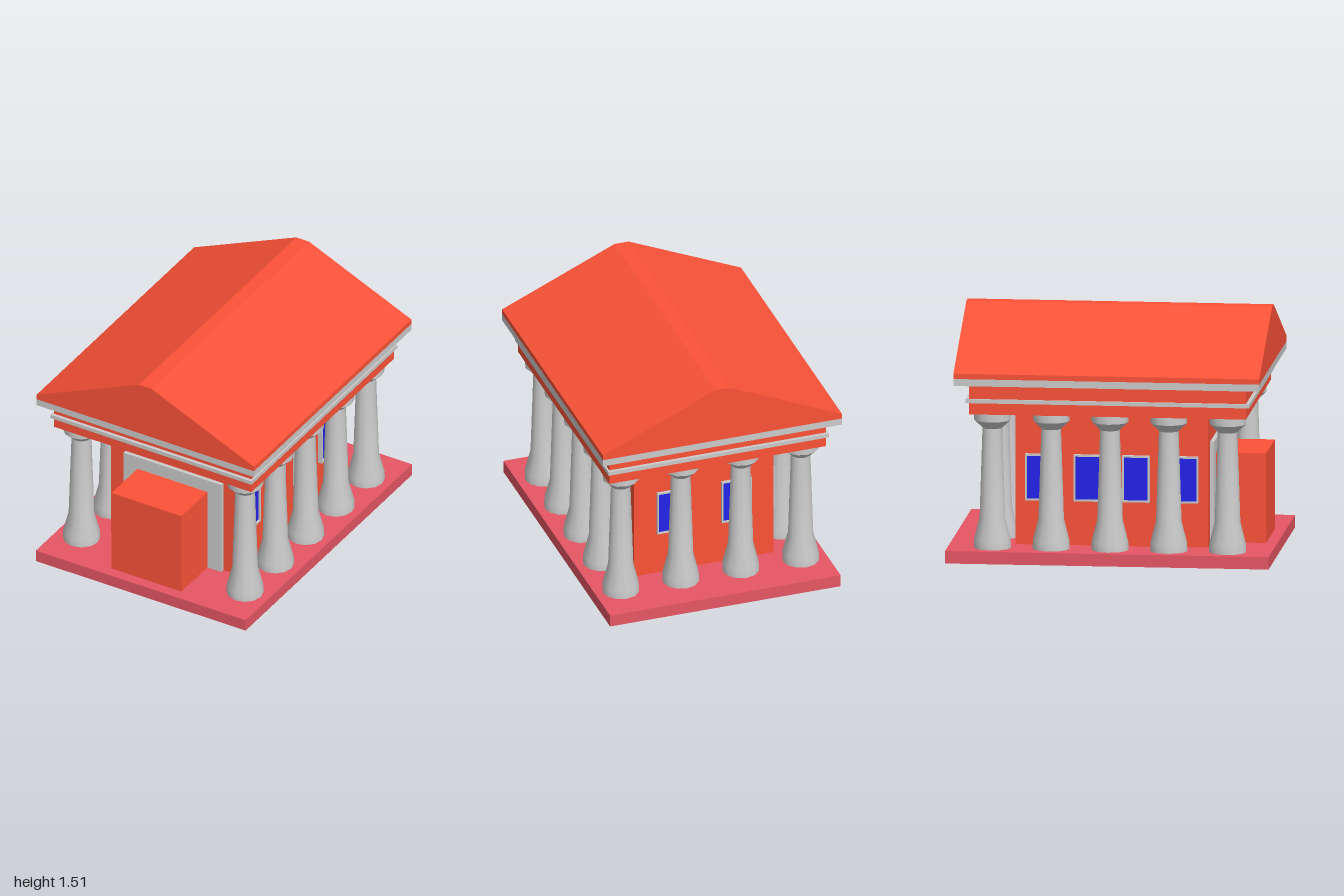
import * as THREE from 'three';
import { toCreasedNormals } from 'three/addons/utils/BufferGeometryUtils.js';

const mat = (color) => new THREE.MeshStandardMaterial({ color });

export function createModel() {
  const temple = new THREE.Group();
  temple.name = 'temple';
  const red = mat(0xfc5238), rose = mat(0xe65664), blue = mat(0x2323eb), grey = mat(0xcccccc);

  const add = (name, geometry, material, parent = temple) => {
    const mesh = new THREE.Mesh(geometry, material);
    mesh.name = name;
    parent.add(mesh);
    return mesh;
  };
  // Box given by half width, bottom, top and z range
  const block = (name, hx, y0, y1, z0, z1, material) => {
    const mesh = add(name, new THREE.BoxGeometry(2 * hx, y1 - y0, z1 - z0), material);
    mesh.position.set(0, (y0 + y1) / 2, (z0 + z1) / 2);
  };
  const rectangle = (Type, hx, hy) => new Type([[-hx, -hy], [hx, -hy], [hx, hy], [-hx, hy]]
    .map(([x, y]) => new THREE.Vector2(x, y)));
  // Rectangular plate with a rectangular opening, extruded along z
  const openPlate = (hx, hy, innerX, innerY, depth) => {
    const shape = rectangle(THREE.Shape, hx, hy);
    shape.holes.push(rectangle(THREE.Path, innerX, innerY));
    return new THREE.ExtrudeGeometry(shape, { depth, bevelEnabled: false });
  };

  // Base slab, with the hall's foundation showing through it
  const hallX = 0.455, hallZ = 0.595;
  add('base', openPlate(0.75, 1, hallX, hallZ, 0.077).rotateX(-Math.PI / 2), rose);
  block('hall', hallX, 0, 0.925, -hallZ, hallZ, red);

  // Entrance
  block('doorSurround', 0.35, 0.077, 0.72, hallZ, 0.62, grey);
  block('entrancePorch', 0.25, 0.077, 0.635, 0.6, 0.93, red);

  // Entablature
  block('entablature', 0.705, 0.925, 1.113, -0.855, 0.855, red);
  block('entablatureBand', 0.718, 0.997, 1.022, -0.877, 0.877, grey);
  block('cornice', 0.777, 1.113, 1.157, -0.945, 0.945, grey);

  // Gabled roof with a blunt ridge
  const gable = new THREE.Shape([[-0.777, 1.157], [0.777, 1.157], [0.777, 1.19], [0.045, 1.515],
    [-0.045, 1.515], [-0.777, 1.19]].map(([x, y]) => new THREE.Vector2(x, y)));
  add('roof', new THREE.ExtrudeGeometry(gable, { depth: 1.89, bevelEnabled: false })
    .translate(0, 0, -0.945), red);

  // Columns: five along each side, two more across the back
  const profile = [[0, 0.077], [0.115, 0.077], [0.113, 0.13], [0.079, 0.265], [0.061, 0.825],
    [0.113, 0.875], [0.113, 0.925], [0, 0.925]].map(([r, y]) => new THREE.Vector2(r, y));
  const columnGeometry = toCreasedNormals(new THREE.LatheGeometry(profile, 12), 0.6);
  const columns = new THREE.Group();
  columns.name = 'columns';
  temple.add(columns);
  const placeColumn = (x, z) => add('column', columnGeometry, grey, columns).position.set(x, 0, z);
  for (const x of [-0.585, 0.585]) {
    for (let i = 0; i < 5; i++) placeColumn(x, -0.725 + i * 0.3635);
  }
  for (const x of [-0.195, 0.195]) placeColumn(x, -0.725);

  // Windows: a raised frame around recessed glass
  const placeWindow = (x, z, turn, width, depth) => {
    const group = new THREE.Group();
    group.name = 'window';
    const hx = width / 2, hy = 0.145, rim = 0.011;
    add('windowFrame', openPlate(hx, hy, hx - rim, hy - rim, depth), grey, group);
    add('windowGlass', new THREE.BoxGeometry(width - 2 * rim, 2 * (hy - rim), depth / 2), blue, group)
      .position.z = depth / 4;
    group.position.set(x, 0.5, z);
    group.rotation.y = turn;
    temple.add(group);
  };
  for (const side of [-1, 1]) {
    for (const z of [-0.45, -0.15, 0.15, 0.45]) {
      placeWindow(side * hallX, z, side * Math.PI / 2, 0.17, 0.028);
    }
    placeWindow(side * 0.21, -hallZ, Math.PI, 0.195, 0.017);
  }
  return temple;
}
